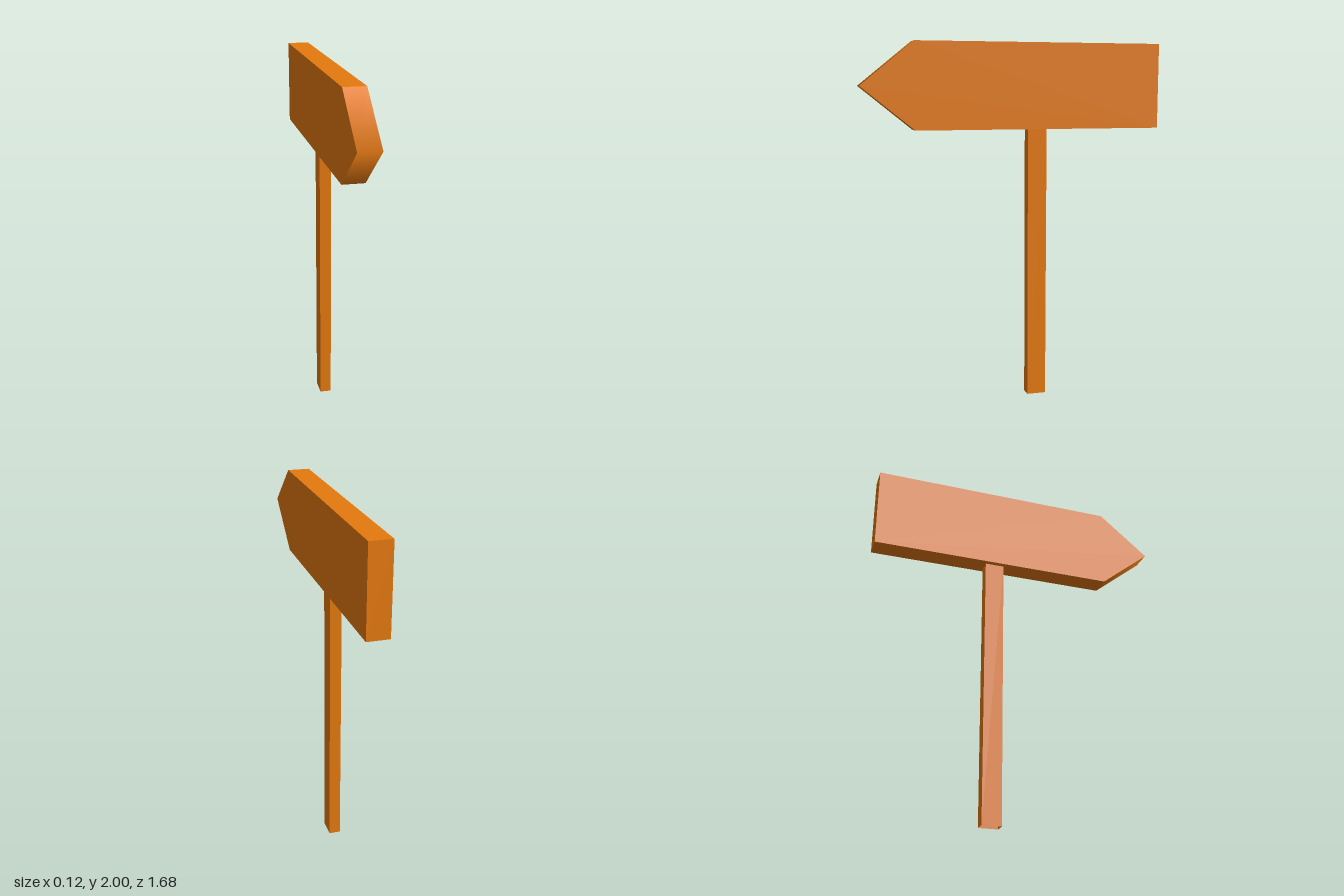
import * as THREE from 'three';

const BOARD_BOTTOM = 1.53, TOP = 2, TIP_Z = 0.84, SHOULDER_Z = 0.55;

// Arrow board: pentagon profile in the z-y plane, extruded across x
function arrowBoardGeometry(thickness) {
  const shape = new THREE.Shape([
    [-TIP_Z, BOARD_BOTTOM], [SHOULDER_Z, BOARD_BOTTOM], [TIP_Z, (BOARD_BOTTOM + TOP) / 2],
    [SHOULDER_Z, TOP], [-TIP_Z, TOP],
  ].map(([z, y]) => new THREE.Vector2(z, y)));
  const geometry = new THREE.ExtrudeGeometry(shape, { depth: thickness, bevelEnabled: false });
  geometry.translate(0, 0, -thickness / 2).rotateY(-Math.PI / 2);

  // Smooth shading across the arrow tip only
  const { position, normal } = geometry.attributes;
  for (let i = 0; i < position.count; i++) {
    if (position.getZ(i) > TIP_Z - 0.01 && Math.abs(normal.getX(i)) < 0.5) normal.setXYZ(i, 0, 0, 1);
  }
  return geometry;
}

// Post: box without its top and bottom faces
function openPostGeometry(width, height, depth) {
  const geometry = new THREE.BoxGeometry(width, height, depth);
  const index = Array.from(geometry.index.array);
  geometry.setIndex([...index.slice(0, 12), ...index.slice(24)]);
  geometry.clearGroups();
  return geometry;
}

export function createModel() {
  const group = new THREE.Group();
  group.name = 'arrowSign';
  const orange = new THREE.MeshStandardMaterial({ color: 0xe67a0e, side: THREE.DoubleSide });

  const board = new THREE.Mesh(arrowBoardGeometry(0.12), orange);
  board.name = 'arrowBoard';

  const post = new THREE.Mesh(openPostGeometry(0.064, BOARD_BOTTOM, 0.108), orange);
  post.name = 'post';
  post.position.set(0, BOARD_BOTTOM / 2, -0.133);

  group.add(board, post);
  return group;
}
